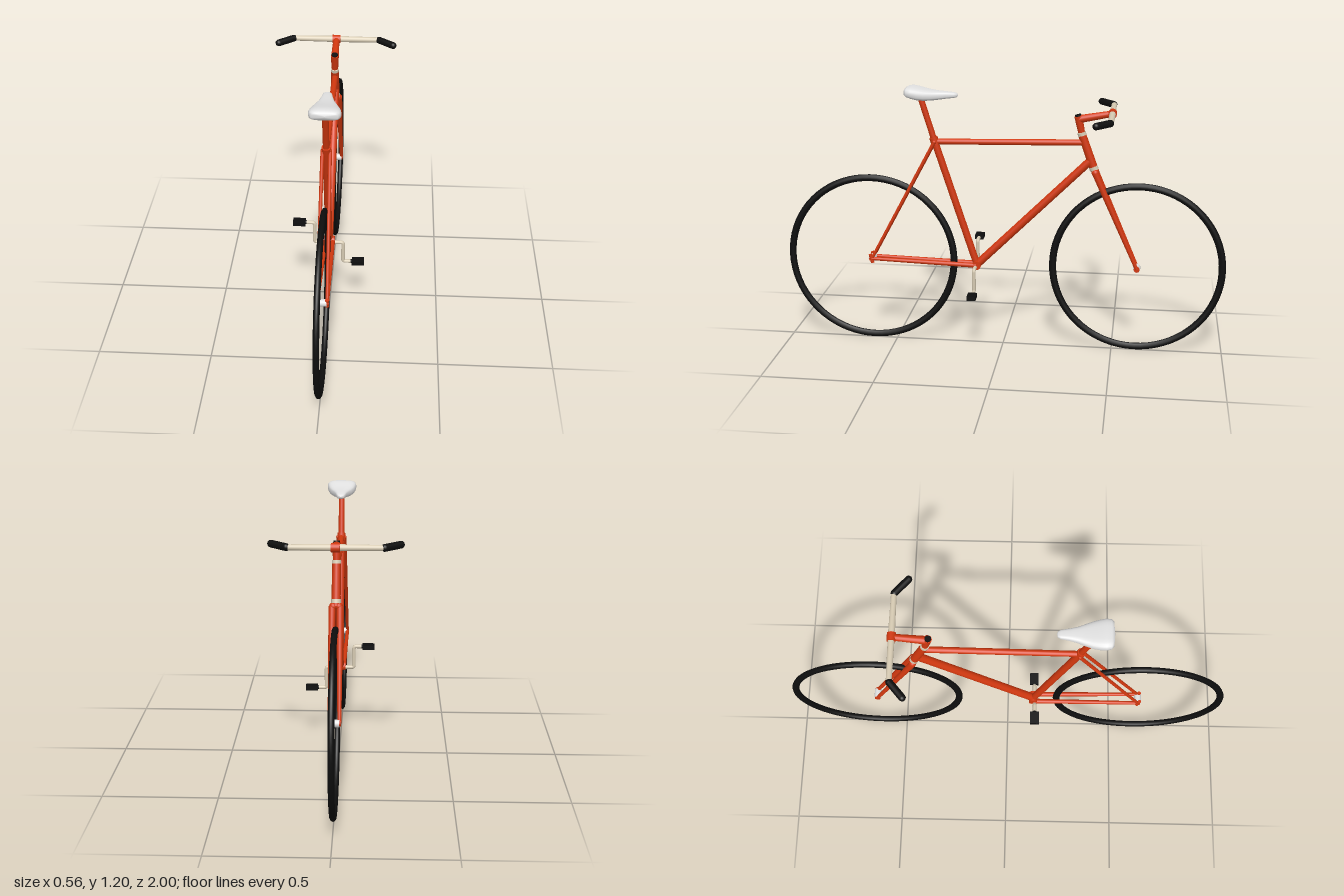
import * as THREE from 'three';

const V = (x, y, z) => new THREE.Vector3(x, y, z);
const mat = (name, color) => {
  const m = new THREE.MeshStandardMaterial({ color });
  m.name = name;
  return m;
};

export function createModel() {
  const red = mat('frameRed', 0xd2380f);
  const black = mat('rubberBlack', 0x0e0e0e);
  const cream = mat('creamMetal', 0xd8ccb4);
  const white = mat('saddleWhite', 0xe2e2e2);

  const bike = new THREE.Group();
  bike.name = 'bicycle';
  const add = (name, geometry, material) => {
    const mesh = new THREE.Mesh(geometry, material);
    mesh.name = name;
    bike.add(mesh);
    return mesh;
  };
  // Straight tube from a (radius ra) to b (radius rb)
  const rod = (name, a, b, ra, rb, material) => {
    const d = b.clone().sub(a);
    const mesh = add(name, new THREE.CylinderGeometry(rb, ra, d.length(), 16), material);
    mesh.position.copy(a).addScaledVector(d, 0.5);
    mesh.quaternion.setFromUnitVectors(V(0, 1, 0), d.normalize());
    return mesh;
  };
  const ball = (name, p, r, material) =>
    add(name, new THREE.SphereGeometry(r, 16, 10), material).position.copy(p);

  // Key points of the frame
  const rearAxle = V(0, 0.397, 0.605), frontAxle = V(0, 0.397, -0.605);
  const bracket = V(0, 0.383, 0.12), seatJoint = V(0, 0.953, 0.306);
  const postTop = V(0, 1.155, 0.368);
  const headTop = V(0, 1.0, -0.349), headLow = V(0, 0.862, -0.399);
  const crown = V(0, 0.835, -0.41), stemTop = V(0, 1.085, -0.33);
  const barCentre = V(0, 1.1, -0.478);

  // Wheels
  for (const [name, c] of [['rear', rearAxle], ['front', frontAxle]]) {
    const tyre = add(name + 'Tyre', new THREE.TorusGeometry(0.379, 0.016, 10, 72), black);
    tyre.rotation.y = Math.PI / 2;
    tyre.scale.z = 0.82;
    tyre.position.copy(c);
    rod(name + 'Hub', V(-0.02, c.y, c.z), V(0.02, c.y, c.z), 0.016, 0.016, white);
  }

  // Main triangle
  rod('seatTube', bracket, seatJoint, 0.016, 0.016, red);
  rod('seatPost', seatJoint, postTop, 0.0135, 0.0135, red);
  rod('seatClamp', V(0, 0.94, 0.302), V(0, 0.972, 0.312), 0.019, 0.019, red);
  rod('topTube', seatJoint, V(0, 0.968, -0.358), 0.013, 0.014, red);
  rod('downTube', bracket, V(0, 0.89, -0.389), 0.018, 0.018, red);
  rod('headTube', headLow, headTop, 0.019, 0.018, red);
  rod('bottomBracket', V(-0.025, 0.383, 0.12), V(0.025, 0.383, 0.12), 0.02, 0.02, red);

  // Headset rings, steerer and stem
  rod('lowerHeadsetRing', V(0, 0.846, -0.405), headLow, 0.02, 0.02, cream);
  rod('upperHeadsetRing', headTop, V(0, 1.014, -0.345), 0.019, 0.019, cream);
  rod('steerer', V(0, 1.014, -0.345), stemTop, 0.015, 0.018, red);
  rod('stemCap', stemTop, V(0, 1.092, -0.328), 0.014, 0.014, black);
  rod('stem', V(0, 1.072, -0.334), barCentre, 0.018, 0.014, red);
  rod('stemClamp', V(-0.018, 1.1, -0.478), V(0.018, 1.1, -0.478), 0.019, 0.019, red);
  rod('forkSteerer', crown, V(0, 0.85, -0.404), 0.017, 0.017, red);

  // Paired fork blades and rear stays
  for (const s of [-1, 1]) {
    const side = s > 0 ? 'left' : 'right';
    const at = (p, x) => V(s * x, p.y, p.z);
    rod(side + 'ForkBlade', at(crown, 0.016), at(frontAxle, 0.02), 0.015, 0.008, red).name = side + 'ForkBlade';
    ball(side + 'ForkCrown', at(crown, 0.012), 0.0165, red);
    rod(side + 'ForkEnd', at(frontAxle, 0.013), at(frontAxle, 0.026), 0.013, 0.013, red);
    rod(side + 'SeatStay', at(seatJoint, 0.016), at(rearAxle, 0.021), 0.008, 0.007, red);
    ball(side + 'SeatStayCap', at(seatJoint, 0.015), 0.0095, red);
    rod(side + 'ChainStay', at(bracket, 0.017), at(rearAxle, 0.021), 0.011, 0.008, red);
    rod(side + 'Dropout', V(s * 0.021, 0.377, 0.602), V(s * 0.021, 0.417, 0.612), 0.008, 0.008, red);
    rod(side + 'AxleNut', at(rearAxle, 0.016), at(rearAxle, 0.027), 0.012, 0.012, red);

    // Crank: axle, arm and pedal spindle as one bent rod
    const yPedal = bracket.y - 0.007 - s * 0.102, yAxle = bracket.y - 0.007, z = 0.125;
    const path = new THREE.CurvePath();
    const p = [V(0, yAxle, z), V(s * 0.054, yAxle, z), V(s * 0.064, yAxle, z),
      V(s * 0.064, yAxle - s * 0.01, z), V(s * 0.064, yPedal + s * 0.01, z),
      V(s * 0.064, yPedal, z), V(s * 0.074, yPedal, z), V(s * 0.125, yPedal, z)];
    path.add(new THREE.LineCurve3(p[0], p[1]));
    path.add(new THREE.QuadraticBezierCurve3(p[1], p[2], p[3]));
    path.add(new THREE.LineCurve3(p[3], p[4]));
    path.add(new THREE.QuadraticBezierCurve3(p[4], p[5], p[6]));
    path.add(new THREE.LineCurve3(p[6], p[7]));
    add(side + 'Crank', new THREE.TubeGeometry(path, 64, 0.0085, 10), cream);

    // Pedal with softened ends
    const pedal = add(side + 'Pedal', new THREE.BoxGeometry(0.056, 0.019, 0.04), black);
    pedal.position.set(s * 0.132, yPedal, z);
    rod(side + 'PedalCollar', V(s * 0.098, yPedal, z), V(s * 0.106, yPedal, z), 0.008, 0.01, black);

    // Half handlebar and swept-back grip
    rod(side + 'Handlebar', barCentre, V(s * 0.198, 1.1, -0.478), 0.0145, 0.012, cream);
    const root = V(s * 0.197, 1.1, -0.476), tip = V(s * 0.262, 1.1, -0.42);
    rod(side + 'Grip', root, tip, 0.0155, 0.0155, black);
    ball(side + 'GripRoot', root, 0.0155, black);
    ball(side + 'GripEnd', tip, 0.0155, black);
  }

  add('saddle', saddleGeometry(), white);
  return bike;
}

// Saddle lofted through rounded sections: [z, half width, bottom y, top y]
function saddleGeometry() {
  const sections = [
    [0.2, 0.002, 1.162, 1.166], [0.203, 0.013, 1.156, 1.172], [0.215, 0.019, 1.153, 1.176],
    [0.25, 0.025, 1.149, 1.179], [0.285, 0.034, 1.144, 1.181], [0.315, 0.046, 1.141, 1.184],
    [0.345, 0.057, 1.14, 1.189], [0.375, 0.064, 1.142, 1.196], [0.4, 0.067, 1.148, 1.2],
    [0.42, 0.064, 1.155, 1.199], [0.43, 0.054, 1.162, 1.193], [0.434, 0.004, 1.174, 1.181],
  ];
  const n = 24, pos = [], idx = [];
  const round = (t) => Math.sign(t) * Math.abs(t) ** 0.65;
  sections.forEach(([z, w, lo, hi], i) => {
    for (let j = 0; j < n; j++) {
      const a = (j / n) * Math.PI * 2;
      pos.push(w * round(Math.cos(a)), (lo + hi) / 2 + ((hi - lo) / 2) * round(Math.sin(a)), z);
      if (i === sections.length - 1) continue;
      const p = i * n + j, q = i * n + ((j + 1) % n);
      idx.push(p, q, p + n, q, q + n, p + n);
    }
  });
  // Close nose and tail
  const last = (sections.length - 1) * n;
  for (let j = 1; j < n - 1; j++) idx.push(0, j + 1, j, last, last + j, last + j + 1);
  const g = new THREE.BufferGeometry();
  g.setAttribute('position', new THREE.Float32BufferAttribute(pos, 3));
  g.setIndex(idx);
  g.computeVertexNormals();
  return g;
}
